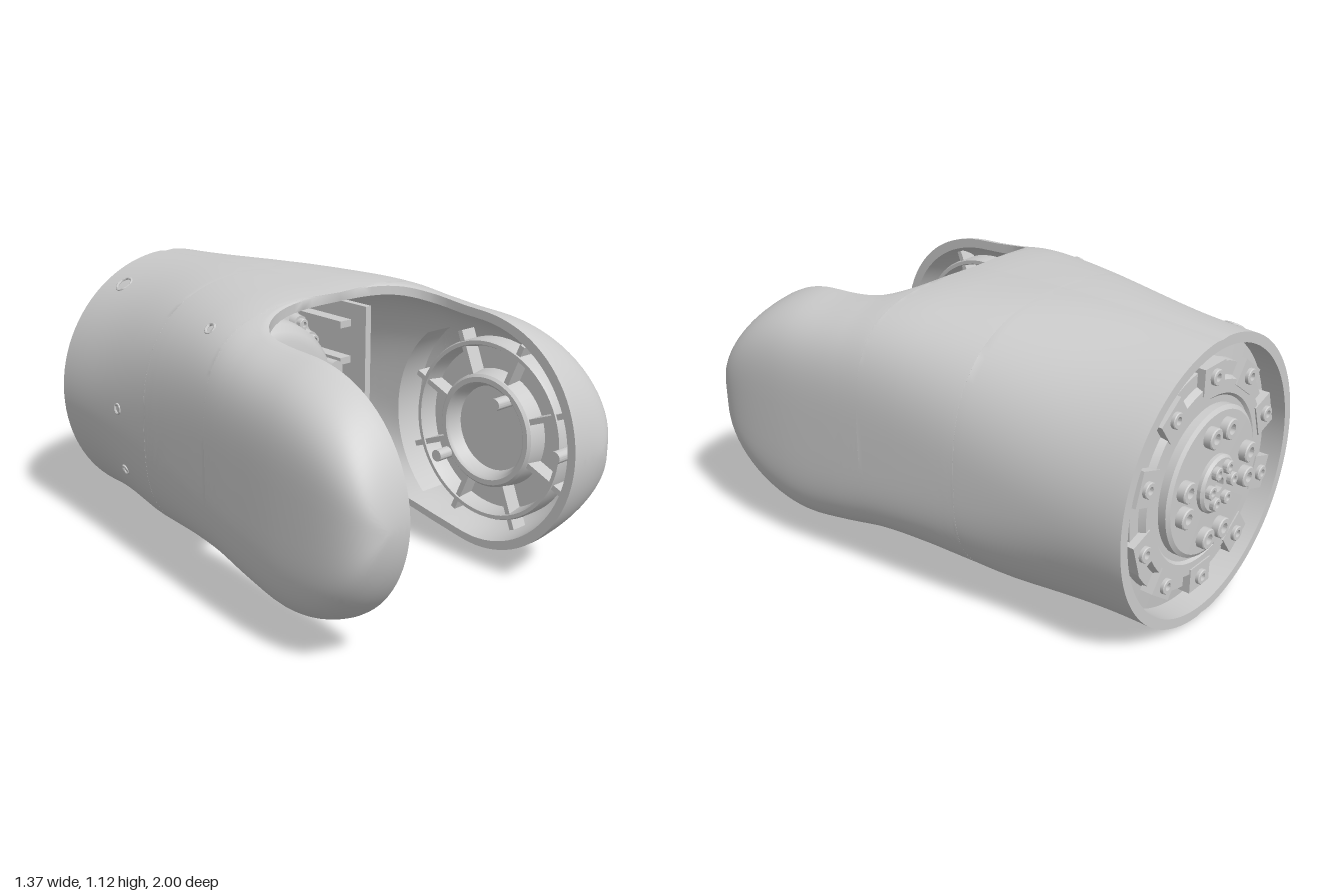
import * as THREE from 'three';
import { toCreasedNormals } from 'three/addons/utils/BufferGeometryUtils.js';

const CY = 0.555; // height of the main axis
const mat = new THREE.MeshStandardMaterial({ color: 0xcccccc, side: THREE.DoubleSide });

function add(parent, name, geo, x = 0, y = 0, z = 0, crease = 0.6) {
  const m = new THREE.Mesh(toCreasedNormals(geo, crease), mat);
  m.name = name;
  m.position.set(x, y, z);
  parent.add(m);
  return m;
}

// smooth cubic interpolation through [z, value] stations
function smooth(tab, z) {
  const n = tab.length - 1;
  if (z <= tab[0][0]) return tab[0][1];
  if (z >= tab[n][0]) return tab[n][1];
  let i = 0;
  while (z > tab[i + 1][0]) i++;
  const slope = k => {
    const a = tab[Math.max(k - 1, 0)], b = tab[Math.min(k + 1, n)];
    return (b[1] - a[1]) / (b[0] - a[0]);
  };
  const [z0, v0] = tab[i], [z1, v1] = tab[i + 1];
  const h = z1 - z0, t = (z - z0) / h, t2 = t * t, t3 = t2 * t;
  return v0 * (2 * t3 - 3 * t2 + 1) + slope(i) * h * (t3 - 2 * t2 + t)
    + v1 * (3 * t2 - 2 * t3) + slope(i + 1) * h * (t3 - t2);
}

const WIDTH = [[-0.95, 0.55], [-0.6, 0.575], [0, 0.633], [0.35, 0.665], [0.6, 0.682], [1, 0.685]];
const UP = [[-0.95, 0.545], [-0.4, 0.57], [0, 0.565], [0.16, 0.552], [0.3, 0.525], [0.5, 0.5], [1, 0.495]];
const DOWN = [[-0.95, 0.555], [-0.6, 0.54], [-0.4, 0.52], [-0.25, 0.485], [-0.05, 0.445], [0.15, 0.432],
  [0.35, 0.46], [0.55, 0.487], [1, 0.487]];
const NOTCH_TOP = 0.17, NOTCH_BOTTOM = -0.27;

// distance of the notch edge from the middle
function notch(z, start, len, edge) {
  const t = THREE.MathUtils.clamp((z - start) / len, 0, 1);
  return edge * Math.cbrt(1 - (1 - t) ** 3);
}

// one side of the section at z, from its top edge round to its bottom edge
function section(z, edge, inset, zs, seg) {
  const tip = z > 0.5 ? Math.sqrt(Math.max(0, 1 - ((z - 0.5) / 0.5) ** 2.2)) : 1;
  const w = smooth(WIDTH, z) * (0.79 + 0.21 * (1 - (1 - tip) ** 2)) - inset;
  const k = tip * (inset ? 0.93 : 1);
  const ramp = Math.pow(THREE.MathUtils.smoothstep(z, -0.95, 0.5), 1.3);
  const nUp = 2 + 2 * ramp, nDown = 2 + 2.6 * ramp; // squareness above and below the axis
  const limit = (x, n) => Math.acos(Math.min(1, Math.pow(x / w, n / 2)));
  const a = limit(notch(z, NOTCH_TOP, 0.24, edge), nUp);
  const b = -limit(notch(z, NOTCH_BOTTOM, 0.32, edge), nDown);
  const pts = [];
  for (let i = 0; i <= seg; i++) {
    const th = a + (b - a) * i / seg, s = Math.sin(th), n = s > 0 ? nUp : nDown;
    const lip = !inset && (i === 0 || i === seg) ? 0.992 : 1; // softened seam and rim
    const y = Math.sign(s) * Math.pow(Math.abs(s), 2 / n) * k * lip * smooth(s > 0 ? UP : DOWN, z);
    pts.push([w * Math.pow(Math.max(0, Math.cos(th)), 2 / n), CY + y, zs]);
  }
  return pts;
}

// half of the walled shell with its fork arm
function shellHalf(side, edge) {
  const zs = [];
  for (let i = 0; i <= 30; i++) zs.push(-0.95 + i * 0.05);
  for (let i = 0; i <= 14; i++) {
    zs.push(NOTCH_TOP + 0.24 * (i / 14) ** 3, NOTCH_BOTTOM + 0.32 * (i / 14) ** 3);
  }
  for (let i = 1; i <= 22; i++) zs.push(0.55 + 0.45 * Math.sin(i / 22 * Math.PI / 2));
  zs.sort((p, q) => p - q);
  const seg = 48, row = 2 * (seg + 1), pos = [], idx = [];
  const tri = (a, b, c) => side > 0 ? idx.push(a, b, c) : idx.push(a, c, b);
  zs.forEach((z, k) => {
    const zi = z - 0.035 * THREE.MathUtils.smoothstep(z, 0.3, 1);
    const loop = [...section(z, edge, 0, z, seg), ...section(z, edge, 0.04, zi, seg).reverse()];
    loop.forEach(p => pos.push(side * p[0], p[1], p[2]));
    if (k) for (let i = 0; i < row; i++) {
      const a = (k - 1) * row + i, b = (k - 1) * row + (i + 1) % row;
      tri(a, a + row, b);
      tri(b, a + row, b + row);
    }
  });
  for (let i = 0; i < seg; i++) { // rear rim
    tri(i, i + 1, row - 1 - i);
    tri(i + 1, row - 2 - i, row - 1 - i);
  }
  const g = new THREE.BufferGeometry();
  g.setAttribute('position', new THREE.Float32BufferAttribute(pos, 3));
  g.setIndex(idx);
  return g;
}

const lathe = (pts, seg = 64) => new THREE.LatheGeometry(pts.map(p => new THREE.Vector2(...p)), seg);

// socket-head bolt along z, head towards dir
function bolt(parent, x, y, z, r, h, dir) {
  const g = lathe([[0, -h / 2], [r, -h / 2], [r, h * 0.4], [r * 0.9, h / 2], [r * 0.5, h / 2], [r * 0.5, 0], [0, 0]], 16);
  g.rotateX(dir * Math.PI / 2);
  add(parent, 'bolt', g, x, y, z);
}

function drive() {
  const g = new THREE.Group();
  g.name = 'drive';
  g.position.y = CY;
  const body = lathe([[0.028, -0.98], [0.1, -0.98], [0.11, -0.97], [0.11, -0.957], [0.27, -0.955], [0.285, -0.945],
    [0.285, -0.915], [0.31, -0.915], [0.32, -0.925], [0.37, -0.925], [0.38, -0.9], [0.43, -0.9], [0.435, -0.86],
    [0.52, -0.85], [0.525, -0.55], [0.44, -0.5], [0.435, -0.42], [0.36, -0.4], [0.355, -0.29], [0.343, -0.24],
    [0.315, -0.205], [0.28, -0.19], [0.216, -0.185], [0.21, -0.2], [0.03, -0.225], [0.028, -0.98]], 72);
  add(g, 'driveHousing', body.rotateX(Math.PI / 2), 0, 0, 0, 0.5);
  // rear lugs and bolts
  for (let i = 0; i < 10; i++) {
    const a = (i + 0.5) / 10 * Math.PI * 2;
    const lug = add(g, 'rearLug', new THREE.BoxGeometry(0.1, 0.13, 0.05), 0.395 * Math.cos(a), 0.395 * Math.sin(a), -0.905);
    lug.rotation.z = a;
    bolt(g, 0.4 * Math.cos(a), 0.4 * Math.sin(a), -0.93, 0.03, 0.03, -1);
  }
  // four pairs of bolts on the output disc, and the hub bolts
  for (let i = 0; i < 8; i++) {
    const a = Math.floor(i / 2) * Math.PI / 2 + (i % 2 ? 0.25 : -0.25);
    bolt(g, 0.205 * Math.cos(a), 0.205 * Math.sin(a), -0.967, 0.04, 0.04, -1);
  }
  for (let i = 0; i < 6; i++) {
    const a = i / 6 * Math.PI * 2;
    bolt(g, 0.07 * Math.cos(a), 0.07 * Math.sin(a), -0.985, 0.025, 0.03, -1);
  }
  // front flange bolts on raised bosses
  for (const deg of [90, 75, 105, 45, 135, 30, 150, 210, 225, 240, 255, 270, 285, 300, 315, 330]) {
    const a = deg * Math.PI / 180, x = 0.39 * Math.cos(a), y = 0.39 * Math.sin(a);
    add(g, 'flangeBoss', new THREE.CylinderGeometry(0.034, 0.042, 0.07, 20).rotateX(Math.PI / 2), x, y, -0.405);
    bolt(g, x, y, -0.36, 0.024, 0.03, 1);
  }
  // side pads, lower bar and connectors
  for (const s of [-1, 1]) {
    const pad = new THREE.Shape().absarc(0, 0.07, 0.035, 0, Math.PI).absarc(0, -0.07, 0.035, Math.PI, 2 * Math.PI);
    add(g, 'sidePad', new THREE.ExtrudeGeometry(pad, { depth: 0.2, bevelEnabled: false }), s * 0.31, 0.04, -0.38);
  }
  bolt(g, -0.3, 0, -0.17, 0.02, 0.03, 1);
  add(g, 'lowerBar', new THREE.BoxGeometry(0.42, 0.035, 0.14), 0, -0.265, -0.22);
  for (let i = 0; i < 6; i++) add(g, 'connector', new THREE.BoxGeometry(0.04, 0.06, 0.1), -0.14 + i * 0.056, -0.31, -0.26);
  return g;
}

// bearing cup, ribs and partition inside one fork arm
function armInside(side, edge) {
  const g = new THREE.Group();
  g.name = side > 0 ? 'leftArmInside' : 'rightArmInside';
  g.position.set(side * edge, CY, 0.55);
  const cup = lathe([[0.36, -0.11], [0.36, -0.04], [0.355, -0.03], [0.34, -0.03], [0.335, -0.04], [0.325, -0.1],
    [0.235, -0.1], [0.225, -0.03], [0.215, -0.02], [0.195, -0.02], [0.185, -0.03], [0.17, -0.08], [0, -0.08]]);
  add(g, 'bearingCup', cup.rotateZ(side * Math.PI / 2));
  for (let i = 0; i < 8; i++) {
    const rib = add(g, 'rib', new THREE.BoxGeometry(0.07, 0.18, 0.022).translate(side * 0.07, 0.31, 0));
    rib.rotation.x = (i + 0.5) * Math.PI / 4;
  }
  // curved wall closing the arm towards the rear
  const wall = new THREE.CylinderGeometry(0.45, 0.45, 0.13, 32, 1, true, Math.PI - 0.85, 1.7);
  add(g, 'armPartition', wall.rotateZ(Math.PI / 2), side * 0.075, 0, 0);
  return g;
}

export function createModel() {
  const model = new THREE.Group();
  model.name = 'forkedArmLink';
  for (const [side, edge] of [[1, 0.39], [-1, 0.46]]) {
    add(model, side > 0 ? 'leftShell' : 'rightShell', shellHalf(side, edge), 0, 0, 0, 0.7);
    model.add(armInside(side, edge));
    // upright liner between the drive and the shell
    add(model, 'liner', new THREE.BoxGeometry(0.03, 0.74, 0.4), side * 0.435, CY, -0.32);
    for (const y of [0.3, 0.43, 0.68, 0.84]) {
      add(model, 'linerRib', new THREE.BoxGeometry(0.07, 0.03, 0.3), side * 0.395, y, -0.36);
    }
  }
  model.add(drive());

  // locating pegs on the left arm
  for (const [y, z] of [[0.42, 0.37], [0.7, 0.65], [0.57, 0.94]]) {
    add(model, 'peg', new THREE.CylinderGeometry(0.024, 0.024, 0.17, 20).rotateZ(Math.PI / 2), 0.43, y, z);
  }
  // rims of the screw holes on the right shell
  for (const [i, z, r] of [[14, 0.04, 0.02], [23, -0.48, 0.018], [29, -0.48, 0.018], [9, -0.81, 0.035]]) {
    const [x, y] = section(z, 0.46, 0, z, 48)[i];
    const ring = add(model, 'screwHoleRim', new THREE.TorusGeometry(r, 0.006, 8, 24), -x, y, z, 1.2);
    ring.lookAt(-2 * x, 2 * y - CY, z);
  }
  return model;
}
